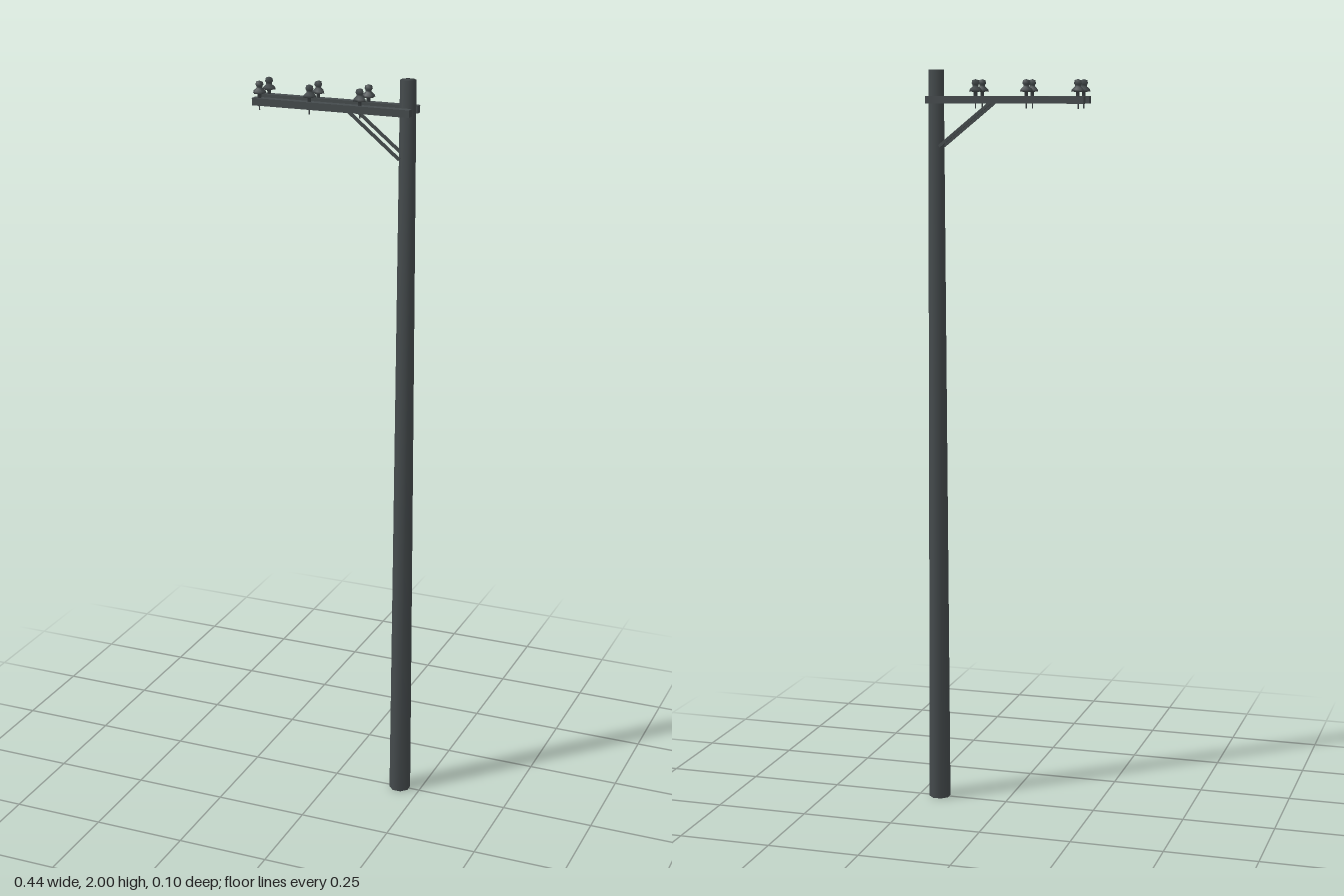
import * as THREE from 'three';
import { mergeVertices } from 'three/addons/utils/BufferGeometryUtils.js';

// Weld a geometry so its shading runs smoothly across every edge
function weld(geometry) {
  geometry.deleteAttribute('uv');
  geometry.deleteAttribute('normal');
  const welded = mergeVertices(geometry, 1e-5);
  welded.computeVertexNormals();
  return welded;
}

export function createModel() {
  const model = new THREE.Group();
  model.name = 'utilityPole';
  const darkGrey = new THREE.MeshStandardMaterial({ color: 0x454b4d });
  darkGrey.name = 'darkGrey';

  const add = (name, geometry, x, y, z) => {
    const mesh = new THREE.Mesh(geometry, darkGrey);
    mesh.name = name;
    mesh.position.set(x, y, z);
    model.add(mesh);
    return mesh;
  };

  // Tapered eight-sided pole, flats facing the axes
  const pole = new THREE.CylinderGeometry(0.0205, 0.0292, 2, 8, 1, false, Math.PI / 8);
  add('pole', weld(pole), 0.192, 1, 0);

  // Five-sided insulator: stem, wide skirt, neck and cap
  const profile = [
    [0, -0.002], [0.005, -0.002], [0.005, 0.011], [0.018, 0.012], [0.016, 0.018],
    [0.008, 0.025], [0.008, 0.029], [0.011, 0.033], [0.009, 0.041], [0, 0.044],
  ].map(([r, y]) => new THREE.Vector2(r, y));
  const insulator = weld(new THREE.LatheGeometry(profile, 5));
  const pin = new THREE.CylinderGeometry(0.002, 0.002, 0.035, 5);
  const arm = new THREE.BoxGeometry(0.43, 0.019, 0.02);

  // Diagonal brace end points
  const outer = new THREE.Vector2(0.037, 1.914);
  const inner = new THREE.Vector2(0.178, 1.8);
  const span = inner.clone().sub(outer);
  const braceShape = new THREE.BoxGeometry(span.length(), 0.008, 0.004);

  for (const side of [-1, 1]) {
    const z = side * 0.03;
    add('crossArm', arm, -0.005, 1.9215, z);
    const brace = add('brace', braceShape, (outer.x + inner.x) / 2, (outer.y + inner.y) / 2, side * 0.021);
    brace.rotation.z = span.angle();

    [-0.203, -0.064, 0.074].forEach((x, i) => {
      const top = add('insulator', insulator, x, 1.931, z);
      top.rotation.y = 0.5 + i * 0.9 + (side > 0 ? 0.4 : 0);
      add('insulatorPin', pin, x, 1.9165, z);
    });
  }
  return model;
}
